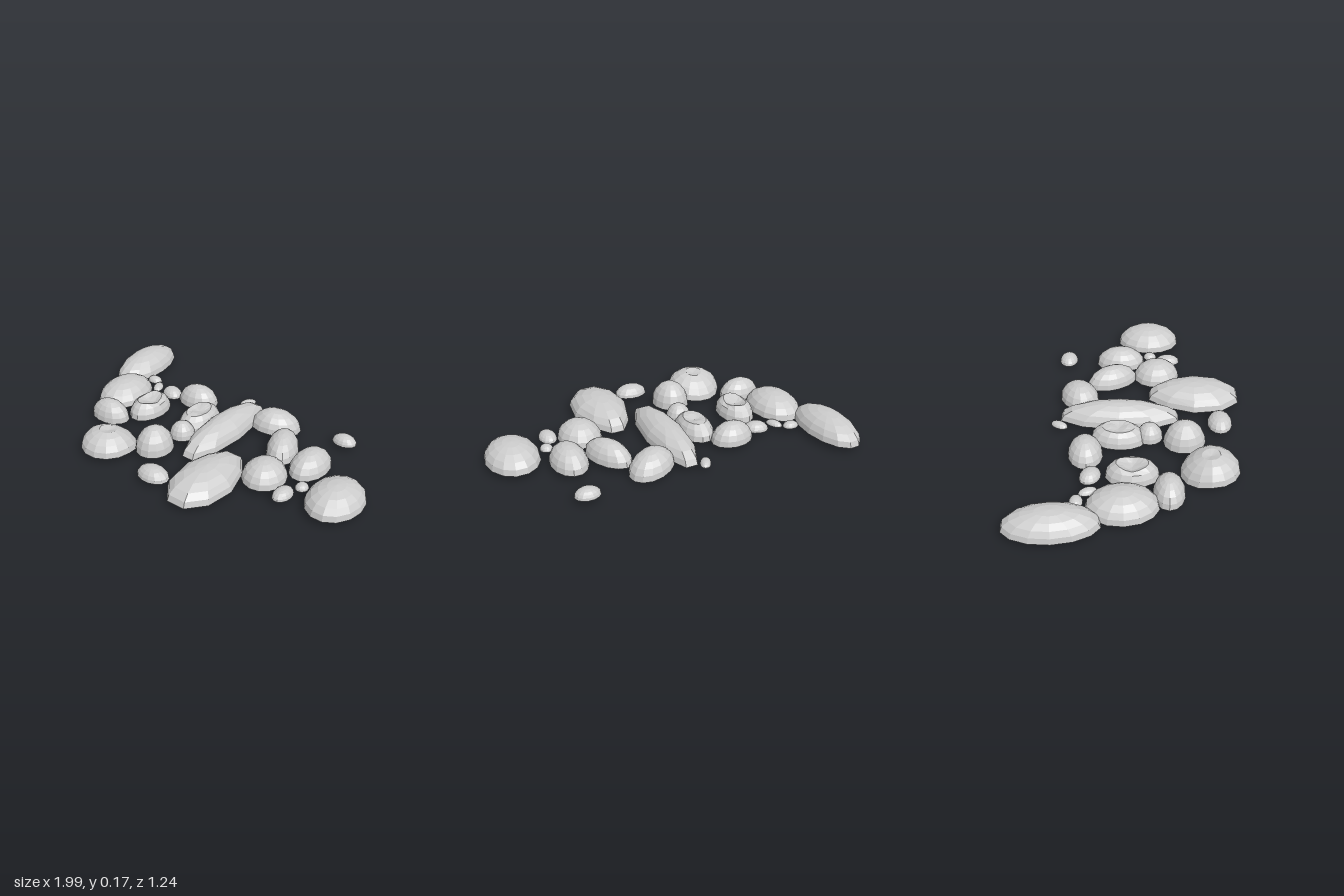
import * as THREE from 'three';

const BASE = 0.03; // height of the stones' open rims
const material = new THREE.MeshStandardMaterial({
  color: 0xcccccc, flatShading: true, side: THREE.DoubleSide,
});

// x, z, half width, half depth, and any special shaping
const STONES = [
  [-0.865, -0.38, 0.13, 0.25, { turn: 0.08 }],
  [-0.725, -0.035, 0.142, 0.19, { turn: 0.08 }],
  [-0.695, -0.27, 0.048, 0.036],
  [-0.62, -0.215, 0.03, 0.052, { turn: 0.45 }],
  [-0.5, -0.21, 0.07, 0.055, { turn: -0.4 }],
  [-0.485, 0.01, 0.1, 0.145, { dentRadius: 0.07, dentDepth: 0.05 }],
  [-0.32, -0.245, 0.125, 0.095, { turn: 0.1 }],
  [-0.175, -0.07, 0.1, 0.153, { dentRadius: 0.06, dentDepth: 0.035, frontTilt: 0.03 }],
  [-0.16, 0.1, 0.073, 0.073, { height: 0.09 }],
  [-0.625, 0.2, 0.125, 0.085],
  [-0.425, 0.42, 0.155, 0.16, { backSlump: 0.03, dentRadius: 0.05, dentDepth: 0.02 }],
  [-0.2, 0.29, 0.105, 0.117, { turn: 0.2, height: 0.135 }],
  [-0.03, 0.495, 0.097, 0.07],
  [0.012, -0.07, 0.112, 0.35, { sides: 10 }],
  [-0.067, -0.407, 0.03, 0.052, { turn: -0.5 }],
  [0.205, -0.31, 0.145, 0.107, { turn: 0.45, sideTilt: 0.1 }],
  [0.375, -0.125, 0.09, 0.155, { turn: 0.45 }],
  [0.585, -0.08, 0.102, 0.147],
  [0.44, 0.14, 0.122, 0.135, { turn: 0.2 }],
  [0.225, 0.355, 0.16, 0.273, { sides: 10, taper: 0.25 }],
  [0.605, -0.405, 0.072, 0.055],
  [0.65, 0.1, 0.036, 0.04],
  [0.605, 0.21, 0.05, 0.072],
  [0.845, 0.09, 0.15, 0.188],
];

// Hollow half dome, optionally tapered, dented, tilted or slumped
function domeGeometry(rx, rz, height, options) {
  const {
    sides = 14, taper = 0, dentRadius = 1, dentDepth = 0,
    sideTilt = 0, frontTilt = 0, backSlump = 0,
  } = options;
  const geometry = new THREE.SphereGeometry(1, sides, 5, 0, Math.PI * 2, 0, Math.PI / 2);
  geometry.scale(rx, height, rz);
  const position = geometry.attributes.position;
  for (let i = 0; i < position.count; i++) {
    const z = position.getZ(i);
    const x = position.getX(i) * (1 + taper * (z / rz) * (z < 0 ? 1 : 0.4));
    const d = Math.min(1, Math.hypot(x, z) / dentRadius);
    const y = position.getY(i)
      - dentDepth * (1 - d * d)
      - sideTilt * Math.max(0, x + rx * 0.3)
      - frontTilt * (z + rz)
      - backSlump * THREE.MathUtils.clamp(-z / (rz * 0.9), 0, 1);
    position.setXYZ(i, x, y, z);
  }
  geometry.computeVertexNormals();
  return geometry;
}

export function createModel() {
  const group = new THREE.Group();
  group.name = 'scatteredStones';
  STONES.forEach(([x, z, rx, rz, options = {}], i) => {
    // Pebbles rise with their width; larger stones share one height
    const narrow = Math.min(rx, rz);
    const isPebble = narrow < 0.08;
    const { turn = 0, height = isPebble ? narrow * 0.85 : 0.107 } = options;
    const stone = new THREE.Mesh(domeGeometry(rx, rz, height, options), material);
    stone.name = `${isPebble ? 'pebble' : 'stone'}${i + 1}`;
    stone.position.set(x, BASE, z);
    stone.rotation.y = turn;
    group.add(stone);
  });
  return group;
}
